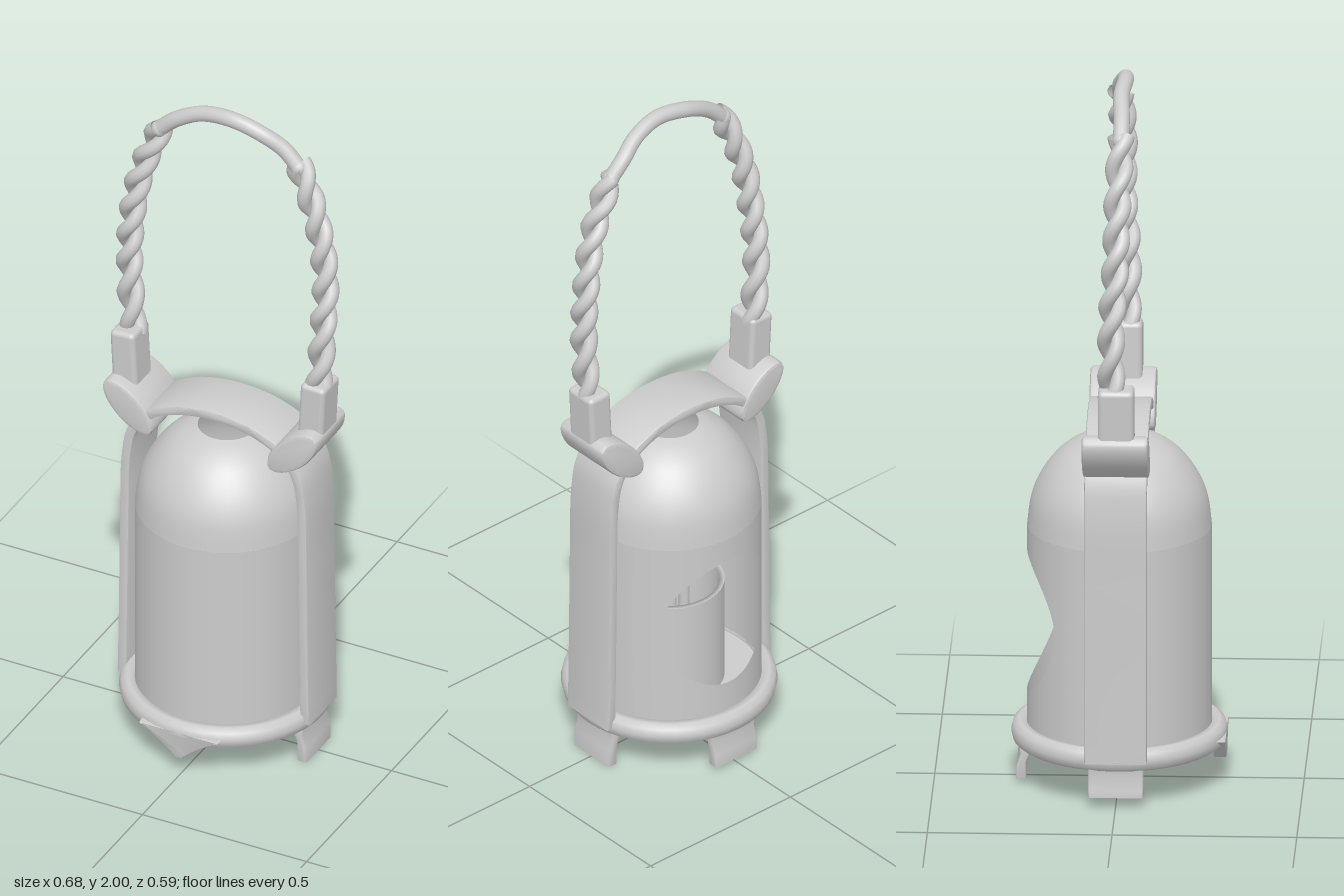
import * as THREE from 'three';
import { toCreasedNormals } from 'three/addons/utils/BufferGeometryUtils.js';
import { RoundedBoxGeometry } from 'three/addons/geometries/RoundedBoxGeometry.js';

const grey = new THREE.MeshStandardMaterial({ color: 0xcccccc });
const thin = new THREE.MeshStandardMaterial({ color: 0xcccccc, side: THREE.DoubleSide });
const v2 = (a) => a.map(([x, y]) => new THREE.Vector2(x, y));
const v3 = (a) => a.map(([x, y, z = 0]) => new THREE.Vector3(x, y, z));
const R = 0.25;

export function createModel() {
  const model = new THREE.Group();
  const add = (name, geo, mat = grey, parent = model) => {
    const m = new THREE.Mesh(geo, mat);
    m.name = name;
    parent.add(m);
    return m;
  };
  // Slab: a profile extruded symmetrically about z = 0, with a soft edge
  const slab = (shape, width, bevel = 0.006) => {
    const geo = new THREE.ExtrudeGeometry(shape, {
      depth: width - 2 * bevel, bevelThickness: bevel, bevelSize: bevel,
      bevelOffset: -bevel, bevelSegments: 2, curveSegments: 20,
    });
    geo.translate(0, 0, bevel - width / 2);
    return toCreasedNormals(geo, 0.7);
  };

  // Shell: dome with an open top, plain front half, back half with a round window
  const y0 = 0.14, y1 = 0.72;
  const domeCurve = new THREE.SplineCurve(v2([[R, y1], [0.239, 0.8], [0.212, 0.865], [0.168, 0.923], [0.12, 0.958], [0.08, 0.974]]));
  add('shellDome', new THREE.LatheGeometry(domeCurve.getPoints(20), 64), thin);
  add('shellFront', new THREE.LatheGeometry(v2([[R, y0], [R, y1]]), 40, -Math.PI / 2, Math.PI), thin);

  const back = new THREE.PlaneGeometry(1, 1, 96, 10);
  const p = back.attributes.position, n = back.attributes.normal;
  for (let i = 0; i < p.count; i++) {
    const a = (p.getX(i) + 0.5) * Math.PI * 2, k = p.getY(i) + 0.5;
    const c = Math.cos(a), s = Math.sin(a), q = 1 / Math.max(Math.abs(c), Math.abs(s));
    // blend from the round window edge out to the rectangular panel edge
    const t = THREE.MathUtils.lerp(Math.asin((0.185 * c) / R), (c * q * Math.PI) / 2, k);
    const y = THREE.MathUtils.lerp(0.45 + 0.2 * s, (y0 + y1) / 2 + (s * q * (y1 - y0)) / 2, k);
    p.setXYZ(i, R * Math.sin(t), y, -R * Math.cos(t));
    n.setXYZ(i, Math.sin(t), 0, -Math.cos(t));
  }
  add('shellBackWithWindow', back, thin);

  // Inside: floor, open cup and thin rods
  const floor = add('floor', new THREE.CircleGeometry(0.255, 48), thin);
  floor.rotation.x = -Math.PI / 2;
  floor.position.y = 0.15;
  add('innerCup', new THREE.LatheGeometry(v2([[0.135, 0.16], [0.135, 0.46], [0.15, 0.46], [0.15, 0.46], [0.15, 0.15]]).reverse(), 40), thin);
  for (let i = 0; i < 3; i++) {
    const rod = add('innerRod', new THREE.CylinderGeometry(0.015, 0.015, 0.38, 10));
    const a = (i / 3) * Math.PI * 2 + 0.3;
    rod.position.set(0.05 * Math.cos(a), 0.34, 0.05 * Math.sin(a));
  }

  // Base ring
  add('baseRing', new THREE.LatheGeometry(v2([
    [0.25, 0.12], [0.256, 0.108], [0.275, 0.105], [0.288, 0.114], [0.293, 0.135],
    [0.288, 0.157], [0.272, 0.167], [0.252, 0.165], [0.248, 0.15], [0.25, 0.12],
  ]), 48));

  // Hooked feet on both sides and at the back
  const foot = (angle, bottom) => {
    const shape = new THREE.Shape(v2([
      [0.25, bottom], [0.278, bottom], [0.277, 0.05], [0.266, 0.085], [0.275, 0.13],
      [0.235, 0.13], [0.238, 0.09], [0.25, 0.06],
    ]));
    add('foot', slab(shape, 0.15)).rotation.y = angle;
  };
  foot(0, 0);
  foot(Math.PI / 2, 0.012);
  foot(Math.PI, 0.03);

  // Pointed lip at the front of the ring
  const lip = new THREE.Shape();
  lip.moveTo(-0.12, 0.14);
  lip.quadraticCurveTo(-0.05, 0.1, -0.012, 0.062);
  lip.quadraticCurveTo(0, 0.054, 0.012, 0.062);
  lip.quadraticCurveTo(0.05, 0.1, 0.12, 0.14);
  add('frontLip', slab(lip, 0.036)).position.z = 0.273;

  // One strap running up a side, over the top and down the other side
  const half = [[0.292, 0.13], [0.288, 0.4], [0.285, 0.65], [0.28, 0.84], [0.262, 0.93], [0.215, 0.995], [0.12, 1.043]];
  const path = new THREE.CatmullRomCurve3(v3([...half, [0, 1.06], ...half.map(([x, y]) => [-x, y]).reverse()]));
  const outer = [], inner = [];
  for (let i = 0; i <= 80; i++) {
    const pt = path.getPoint(i / 80), tan = path.getTangent(i / 80);
    outer.push(new THREE.Vector2(pt.x, pt.y));
    inner.push(new THREE.Vector2(pt.x - tan.y * 0.028, pt.y + tan.x * 0.028));
  }
  add('strap', slab(new THREE.Shape([...outer, ...inner.reverse()]), 0.17));

  // Oval lugs and the posts that hold the rope
  for (const [side, lugX, postX] of [['left', 0.24, 0.279], ['right', -0.26, -0.292]]) {
    const oval = new THREE.Shape();
    oval.absellipse(0, 0, 0.096, 0.045, 0, Math.PI * 2);
    const lug = add(side + 'Lug', slab(oval, 0.18, 0.01));
    lug.position.set(lugX, 0.998, 0);
    lug.rotation.z = Math.sign(lugX) * 0.76;
    const post = add(side + 'Post', new RoundedBoxGeometry(0.075, 0.19, 0.098, 3, 0.014));
    post.position.set(postX, 1.112, 0.003);
    post.rotation.z = -Math.sign(lugX) * 0.05;
  }

  // Twisted two-strand rope on each side
  class Strand extends THREE.Curve {
    constructor(core, phase) {
      super();
      this.core = core;
      this.phase = phase;
    }
    getPoint(t, target = new THREE.Vector3()) {
      const c = this.core.getPoint(t), tan = this.core.getTangent(t);
      const a = this.phase + t * Math.PI * 2 * 3.7;
      const side = new THREE.Vector3(-tan.y, tan.x, 0).normalize();
      return target.copy(c).addScaledVector(side, 0.018 * Math.cos(a))
        .add(new THREE.Vector3(0, 0, 0.018 * Math.sin(a)));
    }
  }
  const ropes = {
    left: [[0.283, 1.18, 0.01], [0.297, 1.38, 0.01], [0.298, 1.55, 0], [0.272, 1.72, 0], [0.215, 1.88, -0.005]],
    right: [[-0.29, 1.18, -0.01], [-0.302, 1.38, -0.01], [-0.292, 1.55, 0], [-0.26, 1.72, 0.005], [-0.195, 1.89, 0.012]],
  };
  for (const [side, pts] of Object.entries(ropes)) {
    const core = new THREE.CatmullRomCurve3(v3(pts));
    for (const phase of [0, Math.PI]) {
      add(side + 'RopeStrand', new THREE.TubeGeometry(new Strand(core, phase), 110, 0.0205, 10), thin);
    }
  }

  // Plain grip across the top, with rounded ends
  const gripPts = v3([[-0.2, 1.88, 0.012], [-0.15, 1.925, 0.012], [-0.07, 1.965, 0.008], [0.03, 1.978, 0.016], [0.11, 1.955, 0.01], [0.17, 1.915, -0.005], [0.215, 1.87, -0.005]]);
  add('grip', new THREE.TubeGeometry(new THREE.CatmullRomCurve3(gripPts), 48, 0.022, 14));
  for (const end of [gripPts[0], gripPts.at(-1)]) {
    add('gripEnd', new THREE.SphereGeometry(0.024, 14, 10)).position.copy(end);
  }
  return model;
}
